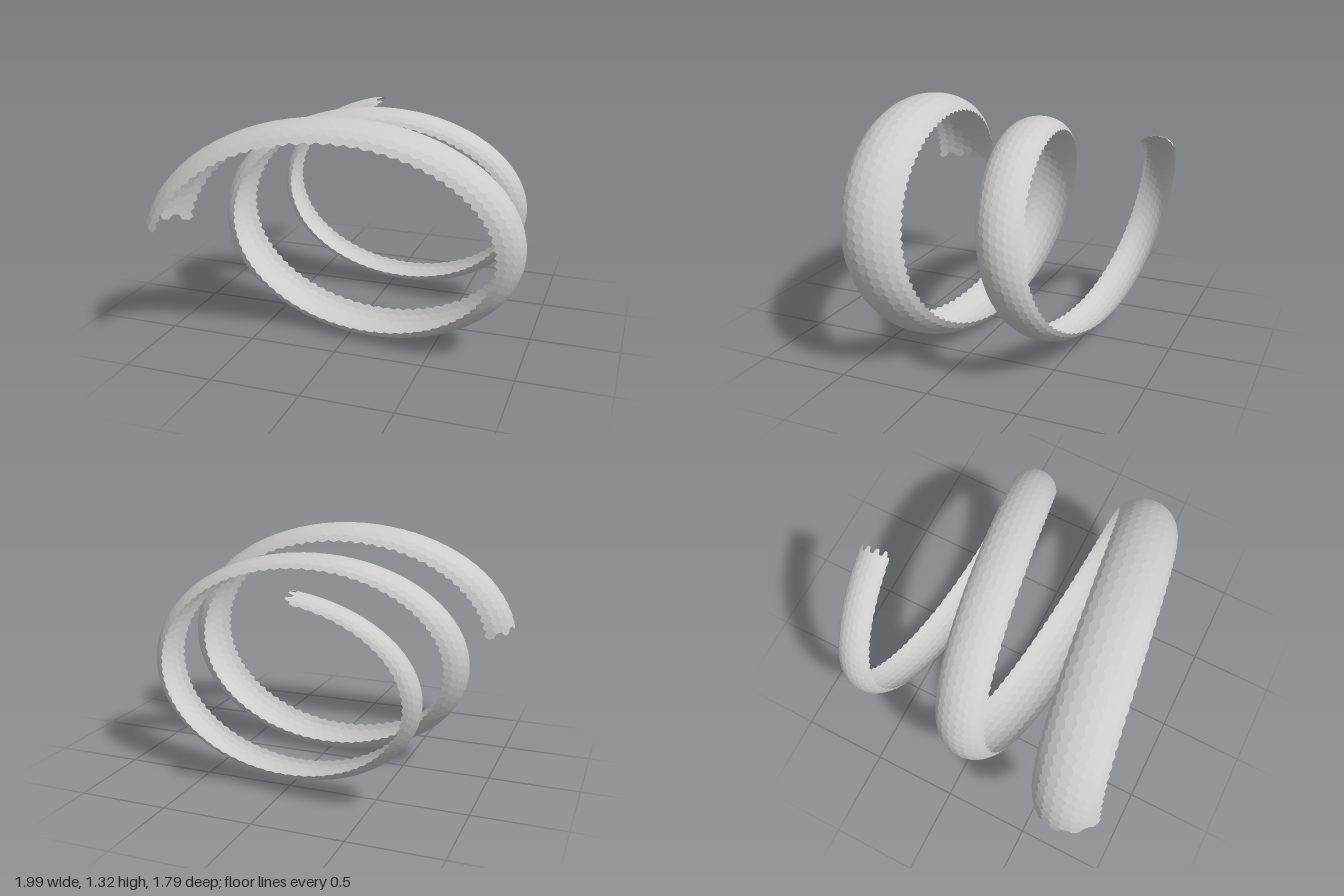
import * as THREE from 'three';

// Outer radius of the coil at each quarter turn, from the front end to the back end
const RADII = [1.04, 0.995, 0.957, 0.935, 0.902, 0.872, 0.848, 0.835, 0.822, 0.79];
const radiusCurve = new THREE.CatmullRomCurve3(RADII.map((r, i) => new THREE.Vector3(i, r, 0)));

const Q_START = 0.06, Q_END = 8.84; // quarter turns
const ROWS = 9, COLUMNS = 176;      // hexagonal tiles across and along the band
const ARC = THREE.MathUtils.degToRad(70);

// Crest line of the band: an elliptical coil running from the left over the top
function crest(q) {
  const a = q * Math.PI / 2;
  const r = radiusCurve.getPoint(q / (RADII.length - 1)).y;
  return new THREE.Vector3(0.043 - r * Math.cos(a), 0.645 + 0.687 * r * Math.sin(a), 0.695 - 0.172 * q);
}

// Point on the band: u runs 0..1 along it, v runs -1..1 across it
function bandPoint(u, v) {
  const q = THREE.MathUtils.lerp(Q_START, Q_END, u);
  const a = q * Math.PI / 2;
  const tangent = crest(q + 0.01).sub(crest(q - 0.01)).normalize();
  const across = new THREE.Vector3(0, 0, -1).addScaledVector(tangent, tangent.z).normalize();
  const inward = new THREE.Vector3(Math.cos(a), -0.687 * Math.sin(a), 0);
  const tubeRadius = (0.2 - 0.0125 * q) / Math.sin(ARC);
  return crest(q)
    .addScaledVector(across, tubeRadius * Math.sin(v * ARC))
    .addScaledVector(inward, tubeRadius * (1 - Math.cos(v * ARC)));
}

// Corners of a tile in grid steps, counter-clockwise
const HEXAGON = [[0, -2 / 3], [0.5, -1 / 3], [0.5, 1 / 3], [0, 2 / 3], [-0.5, 1 / 3], [-0.5, -1 / 3]];

// Flat hexagonal tiles leave a zigzag along every open edge
function hexBandGeometry() {
  const positions = [], normals = [], indices = [];
  for (let j = 0; j < ROWS; j++) {
    for (let i = 0; i < COLUMNS; i++) {
      const first = positions.length / 3;
      const corners = HEXAGON.map(([du, dv]) => bandPoint(
        (i + 0.5 + (j % 2) / 2 + du) / (COLUMNS + 0.5),
        2 * (j + 0.5 + dv) / ROWS - 1
      ));
      const normal = corners[2].clone().sub(corners[0])
        .cross(corners[4].clone().sub(corners[0])).normalize();
      for (const p of corners) {
        positions.push(p.x, p.y, p.z);
        normals.push(normal.x, normal.y, normal.z);
      }
      for (let k = 1; k < 5; k++) indices.push(first, first + k, first + k + 1);
    }
  }
  const geometry = new THREE.BufferGeometry();
  geometry.setAttribute('position', new THREE.Float32BufferAttribute(positions, 3));
  geometry.setAttribute('normal', new THREE.Float32BufferAttribute(normals, 3));
  geometry.setIndex(indices);
  return geometry;
}

export function createModel() {
  const group = new THREE.Group();
  group.name = 'coiledShell';
  const material = new THREE.MeshStandardMaterial({ color: 0xcccccc, side: THREE.DoubleSide });
  const band = new THREE.Mesh(hexBandGeometry(), material);
  band.name = 'spiralBand';
  group.add(band);
  return group;
}
